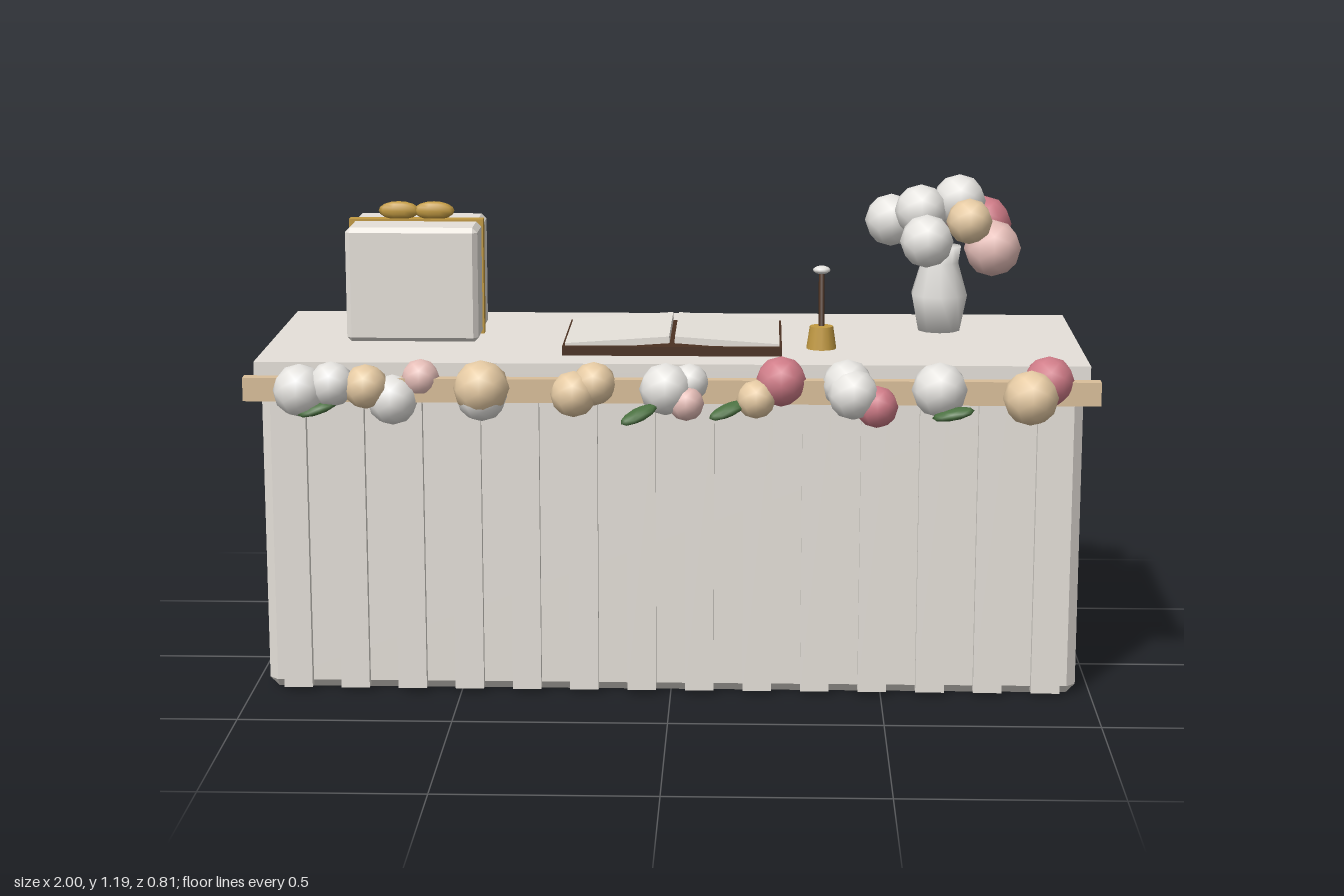
import * as THREE from 'three';
import { ConvexGeometry } from 'three/addons/geometries/ConvexGeometry.js';

const material = (name, color) => {
  const m = new THREE.MeshStandardMaterial({ color });
  m.name = name;
  return m;
};

export function createModel() {
  const ivory = material('ivory', 0xe6e1da);
  const white = material('white', 0xf1efeb);
  const wood = material('paleWood', 0xdabf9a);
  const peach = material('peach', 0xecd0a8);
  const blush = material('blush', 0xe8c0ba);
  const rose = material('rose', 0xd07c88);
  const gold = material('gold', 0xc29a42);
  const brown = material('darkBrown', 0x4c3222);
  const green = material('leafGreen', 0x4a7040);

  const model = new THREE.Group();
  model.name = 'decoratedReceptionTable';

  const group = (name) => {
    const g = new THREE.Group();
    g.name = name;
    model.add(g);
    return g;
  };
  const add = (parent, name, geometry, mat, x, y, z) => {
    const mesh = new THREE.Mesh(geometry, mat);
    mesh.name = name;
    mesh.position.set(x, y, z);
    parent.add(mesh);
    return mesh;
  };
  const box = (w, h, d) => new THREE.BoxGeometry(w, h, d);

  // Box with all edges cut at 45 degrees
  const chamferBox = (w, h, d, c) => {
    const points = [];
    for (const sx of [-1, 1]) for (const sy of [-1, 1]) for (const sz of [-1, 1]) {
      for (let axis = 0; axis < 3; axis++) {
        const half = [w / 2, h / 2, d / 2].map((v, i) => (i === axis ? v : v - c));
        points.push(new THREE.Vector3(sx * half[0], sy * half[1], sz * half[2]));
      }
    }
    return new ConvexGeometry(points);
  };

  const ball = new THREE.IcosahedronGeometry(1, 1);
  const blooms = (parent, list) => {
    for (const [mat, x, y, z, r] of list) {
      add(parent, 'bloom', ball, mat, x, y, z).scale.setScalar(r);
    }
  };

  // Table
  const table = group('table');
  add(table, 'tableBody', chamferBox(1.93, 0.765, 0.655, 0.022), ivory, 0, 0.3825, -0.072);
  add(table, 'tableTop', box(1.955, 0.038, 0.675), ivory, 0, 0.781, -0.0725);
  for (let i = 0; i < 14; i++) {
    add(table, 'frontPleat', box(0.068, 0.72, 0.03), ivory, (i - 6.5) * 0.137, 0.37, 0.263);
  }
  add(table, 'garlandRail', box(2, 0.056, 0.035), wood, 0, 0.74, 0.278);

  // Garland along the front rail
  const garland = group('garland');
  blooms(garland, [
    [white, -0.865, 0.74, 0.3, 0.063], [white, -0.79, 0.755, 0.3, 0.054],
    [peach, -0.71, 0.75, 0.3, 0.053], [white, -0.65, 0.715, 0.28, 0.06],
    [blush, -0.585, 0.765, 0.268, 0.045], [peach, -0.44, 0.748, 0.3, 0.066],
    [white, -0.44, 0.728, 0.295, 0.06], [peach, -0.225, 0.735, 0.3, 0.055],
    [peach, -0.178, 0.757, 0.287, 0.052], [white, -0.01, 0.75, 0.31, 0.062],
    [white, 0.045, 0.762, 0.29, 0.045], [blush, 0.038, 0.72, 0.325, 0.042],
    [peach, 0.2, 0.725, 0.3, 0.046], [rose, 0.258, 0.762, 0.272, 0.06],
    [white, 0.412, 0.757, 0.28, 0.06], [white, 0.425, 0.74, 0.31, 0.06],
    [rose, 0.48, 0.71, 0.305, 0.05], [white, 0.625, 0.75, 0.3, 0.065],
    [peach, 0.835, 0.735, 0.315, 0.065], [rose, 0.88, 0.765, 0.27, 0.06],
  ]);
  for (const [x, z, turn] of [[-0.82, 0.32, 0.3], [-0.07, 0.37, 0.6], [0.135, 0.315, 0.5], [0.655, 0.345, -0.1]]) {
    const leaf = add(garland, 'leaf', ball, green, x, 0.702, z);
    leaf.scale.set(0.05, 0.013, 0.024);
    leaf.rotation.set(0.2, turn, 0.25);
  }

  // Gift box with ribbon and bow
  const gift = group('giftBox');
  add(gift, 'giftBoxBody', chamferBox(0.32, 0.28, 0.268, 0.012), ivory, -0.634, 0.938, -0.128);
  add(gift, 'ribbon', box(0.328, 0.283, 0.034), gold, -0.634, 0.9415, -0.128);
  for (const side of [-1, 1]) {
    add(gift, 'bowLoop', new THREE.SphereGeometry(1, 10, 8), gold, -0.634 + side * 0.043, 1.102, -0.128)
      .scale.set(0.05, 0.023, 0.016);
  }

  // Open guest book
  const book = group('guestBook');
  add(book, 'bookCover', box(0.52, 0.022, 0.355), brown, 0, 0.811, -0.012);
  for (const side of [-1, 1]) {
    add(book, 'page', box(0.248, 0.016, 0.33), ivory, side * 0.13, 0.828, -0.012)
      .rotation.z = -side * 0.07;
  }

  // Pen in its stand
  const pen = group('penStand');
  add(pen, 'standBase', new THREE.CylinderGeometry(0.028, 0.036, 0.054, 12), gold, 0.355, 0.827, 0.054);
  add(pen, 'penShaft', new THREE.CylinderGeometry(0.007, 0.007, 0.155, 8), brown, 0.355, 0.912, 0.033)
    .rotation.x = -0.29;
  add(pen, 'penTip', new THREE.SphereGeometry(1, 10, 8), white, 0.355, 0.983, 0.013)
    .scale.set(0.021, 0.01, 0.021);

  // Vase with bouquet
  const vase = group('flowerVase');
  const profile = [[0, 0], [0.053, 0], [0.071, 0.09], [0.047, 0.17], [0.053, 0.21], [0, 0.21]]
    .map(([r, y]) => new THREE.Vector2(r, y));
  add(vase, 'vaseBody', new THREE.LatheGeometry(profile, 10), white, 0.65, 0.8, -0.2);
  blooms(vase, [
    [white, 0.53, 1.07, -0.225, 0.065], [white, 0.61, 1.04, -0.075, 0.065],
    [white, 0.6, 1.1, -0.175, 0.065], [white, 0.695, 1.122, -0.2, 0.065],
    [white, 0.59, 1.05, -0.325, 0.065], [peach, 0.715, 1.083, -0.115, 0.056],
    [blush, 0.775, 1.012, -0.152, 0.07], [rose, 0.76, 1.055, -0.268, 0.07],
    [blush, 0.69, 1.095, -0.295, 0.055],
  ]);

  return model;
}
